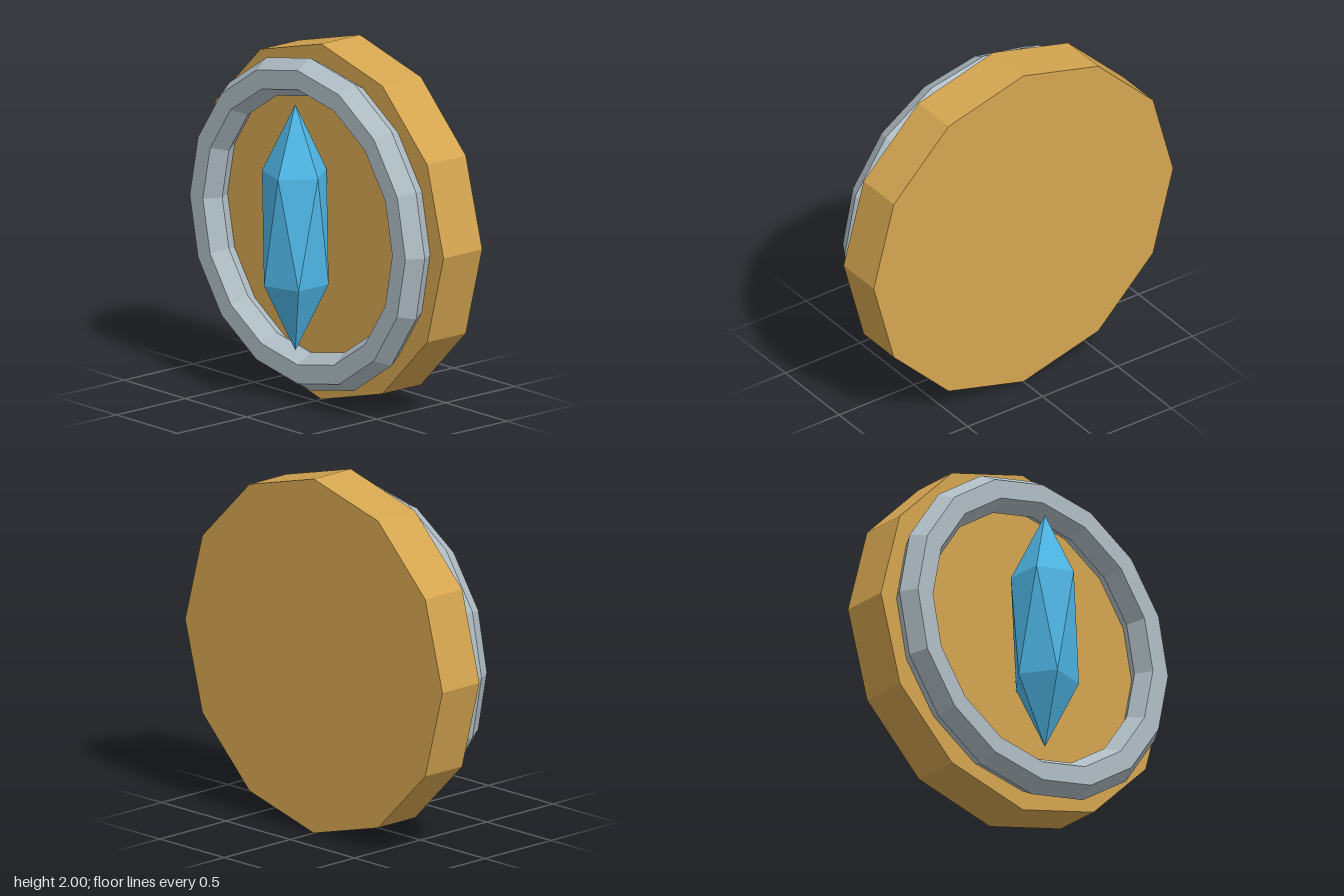
import * as THREE from 'three';
import { ConvexGeometry } from 'three/addons/geometries/ConvexGeometry.js';

function part(group, name, geometry, color, y, z) {
  const material = new THREE.MeshStandardMaterial({ color, flatShading: true });
  const mesh = new THREE.Mesh(geometry, material);
  mesh.name = name;
  mesh.position.set(0, y, z);
  group.add(mesh);
  return mesh;
}

// Stretched icosahedron: two tips and two staggered rings of five corners
function crystalGeometry(radius, halfHeight, ringHeight) {
  const points = [
    new THREE.Vector3(0, halfHeight, 0),
    new THREE.Vector3(0, -halfHeight, 0),
  ];
  for (let i = 0; i < 5; i++) {
    for (const side of [1, -1]) {
      const a = (i + (side < 0 ? 0.5 : 0)) * Math.PI * 2 / 5;
      points.push(new THREE.Vector3(radius * Math.cos(a), side * ringHeight, radius * Math.sin(a)));
    }
  }
  return new ConvexGeometry(points);
}

export function createModel() {
  const group = new THREE.Group();
  group.name = 'medallion';

  // Twelve-sided backing disc, standing upright
  const disc = new THREE.CylinderGeometry(1, 1, 0.28, 12).rotateX(Math.PI / 2);
  part(group, 'disc', disc, 0xd4a550, 1, -0.182);

  // Raised rim with a hexagonal section
  part(group, 'rim', new THREE.TorusGeometry(0.828, 0.107, 6, 16), 0xb0bec5, 1, 0.037);

  // Crystal in the middle
  part(group, 'crystal', crystalGeometry(0.185, 0.692, 0.31), 0x4fb8e8, 1.002, 0.146);

  return group;
}
